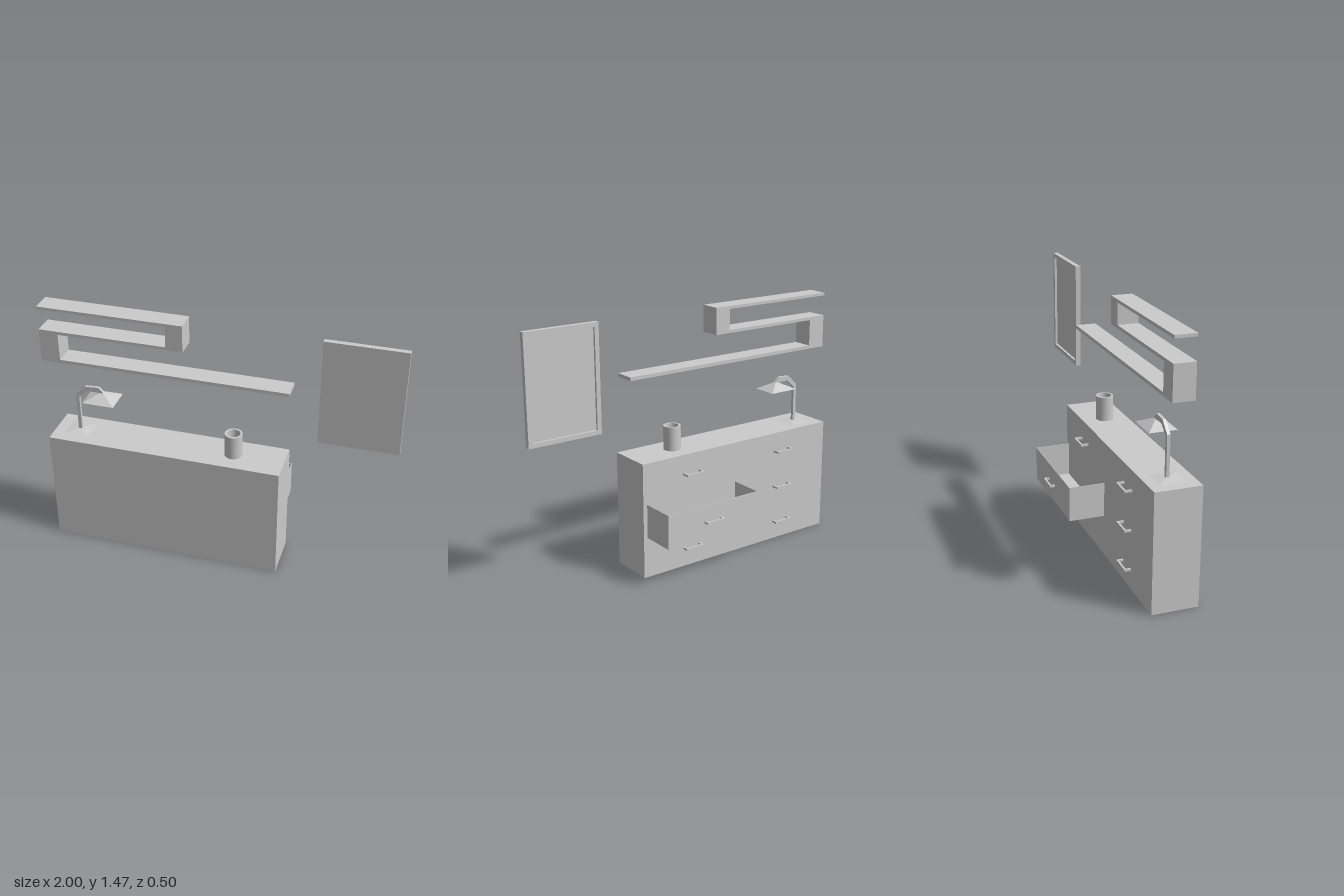
import * as THREE from 'three';

const grey = new THREE.MeshStandardMaterial({ color: 0xcccccc, flatShading: true });
const thin = new THREE.MeshStandardMaterial({ color: 0xcccccc, flatShading: true, side: THREE.DoubleSide });
const smooth = new THREE.MeshStandardMaterial({ color: 0xcccccc });

export function createModel() {
  const model = new THREE.Group();

  function add(parent, name, geometry, material = grey) {
    const mesh = new THREE.Mesh(geometry, material);
    mesh.name = name;
    parent.add(mesh);
    return mesh;
  }
  function group(name) {
    const g = new THREE.Group();
    g.name = name;
    model.add(g);
    return g;
  }
  // Box given by its extents on each axis
  function box(parent, name, x0, x1, y0, y1, z0, z1, material) {
    const mesh = add(parent, name, new THREE.BoxGeometry(x1 - x0, y1 - y0, z1 - z0), material);
    mesh.position.set((x0 + x1) / 2, (y0 + y1) / 2, (z0 + z1) / 2);
    return mesh;
  }
  // Four-sided pyramid aligned with the axes
  function pyramid(parent, name, w, h, d, open) {
    const geo = new THREE.ConeGeometry(Math.SQRT1_2, h, 4, 1, open).rotateY(Math.PI / 4).scale(w, 1, d);
    return add(parent, name, geo, open ? thin : grey);
  }

  // Dresser body
  const back = -0.012;
  const dresser = group('dresser');
  box(dresser, 'cabinet', -0.97, 0.375, 0, 0.68, back, 0.25);

  // Pulled-out drawer, open at the top
  const drawer = group('openDrawer');
  const [dx0, dx1, dy0, dy1, dz] = [-0.275, 0.35, 0.24, 0.44, -0.215];
  const t = 0.003;
  box(drawer, 'drawerFloor', dx0, dx1, dy0, dy0 + t, dz, back);
  box(drawer, 'drawerFront', dx0, dx1, dy0, dy1, dz, dz + t);
  box(drawer, 'drawerSideRight', dx0, dx0 + t, dy0, dy1, dz, back);
  box(drawer, 'drawerSideLeft', dx1 - t, dx1, dy0, dy1, dz, back);

  // Bracket handles: [x centre, y, face z, depth]
  const handles = group('handles');
  const w = 0.06, b = 0.011;
  for (const [x, y, z, depth] of [
    [0.045, 0.568, back, 0.046], [0.045, 0.342, dz, 0.031], [0.045, 0.114, back, 0.038],
    [-0.627, 0.568, back, 0.044], [-0.627, 0.342, back, 0.04], [-0.627, 0.114, back, 0.038],
  ]) {
    box(handles, 'handleBar', x - w, x + w, y - 0.006, y + 0.006, z - depth, z - depth + b);
    for (const s of [-1, 1]) {
      const px = x + s * (w - b / 2);
      box(handles, 'handlePost', px - b / 2, px + b / 2, y - 0.006, y + 0.006, z - depth + b, z);
    }
  }

  // Wall shelf folding back and forth in one ribbon, with a separate outline per step
  const shelf = group('wallShelf');
  const outline = [
    [-1, 1.14], [0.4, 1.14], [0.4, 1.16], [-0.89, 1.16], [-0.89, 1.315], [-0.18, 1.315],
    [-0.18, 1.47], [-1, 1.47], [-1, 1.453], [-0.275, 1.453], [-0.275, 1.333], [-1, 1.333],
  ].map(([x, y]) => new THREE.Vector2(x, y));
  add(shelf, 'shelfRibbon', new THREE.ExtrudeGeometry(new THREE.Shape(outline),
    { depth: 0.12, bevelEnabled: false })).position.z = 0.056;

  // Framed wall mirror, its recessed pane facing the back
  const mirror = group('wallMirror');
  const [mx0, mx1, my0, my1, f] = [0.555, 0.995, 0.86, 1.473, 0.025];
  box(mirror, 'mirrorPane', mx0 + f, mx1 - f, my0 + f, my1 - f, 0.122, 0.137);
  box(mirror, 'frameBottom', mx0, mx1, my0, my0 + f, 0.108, 0.137);
  box(mirror, 'frameTop', mx0, mx1, my1 - f, my1, 0.108, 0.137);
  box(mirror, 'frameRight', mx0, mx0 + f, my0 + f, my1 - f, 0.108, 0.137);
  box(mirror, 'frameLeft', mx1 - f, mx1, my0 + f, my1 - f, 0.108, 0.137);

  // Desk lamp: flat base, bent arm, open pyramid shade
  const lamp = group('lamp');
  pyramid(lamp, 'lampBase', 0.14, 0.01, 0.15, false).position.set(-0.832, 0.685, 0.117);
  const arm = [
    [-0.84, 0.68], [-0.82, 0.68], [-0.82, 0.902], [-0.767, 0.95], [-0.712, 0.95],
    [-0.69, 0.94], [-0.672, 0.952], [-0.7, 0.981], [-0.778, 0.976], [-0.84, 0.917],
  ].map(([x, y]) => new THREE.Vector2(x, y));
  add(lamp, 'lampArm', new THREE.ExtrudeGeometry(new THREE.Shape(arm),
    { depth: 0.018, bevelEnabled: false })).position.z = 0.106;
  pyramid(lamp, 'lampShade', 0.185, 0.045, 0.155, true).position.set(-0.683, 0.932, 0.114);

  // Hollow cup: walls doubled at the rims to keep them sharp
  const cup = group('cup');
  const profile = [[0, 0], [0.05, 0], [0.05, 0.14], [0.038, 0.14], [0.038, 0.01], [0, 0.01]];
  for (let i = 0; i + 1 < profile.length; i++) {
    const pts = [profile[i], profile[i + 1]].map(([r, y]) => new THREE.Vector2(r, y));
    add(cup, 'cupSurface', new THREE.LatheGeometry(pts, 24), smooth);
  }
  cup.position.set(0.085, 0.68, 0.12);

  return model;
}
